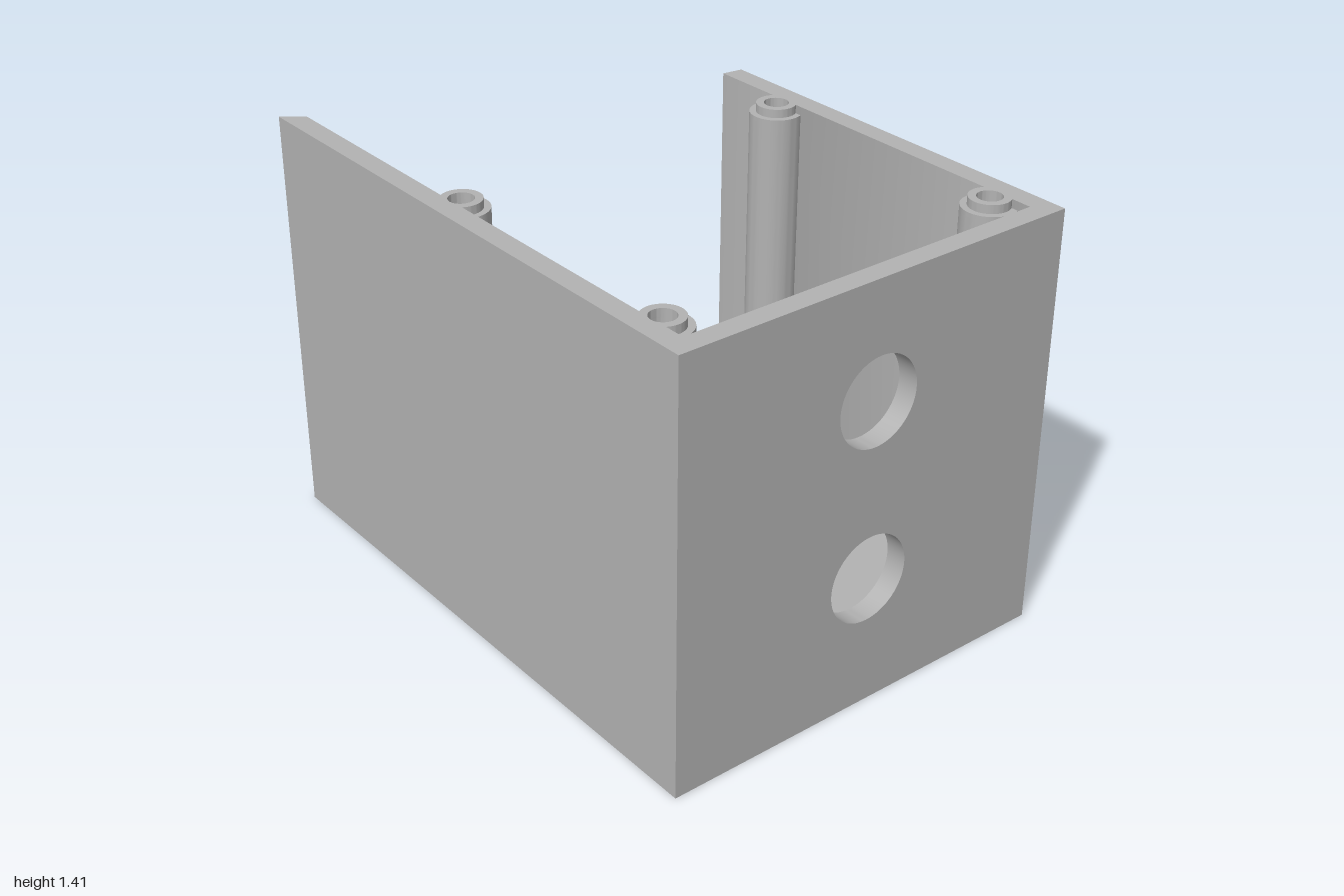
import * as THREE from 'three';
import { toCreasedNormals } from 'three/addons/utils/BufferGeometryUtils.js';

const HEIGHT = 1.415, FLOOR = 0.047, HALF_Z = 0.707, WALL = 0.07;
const POST_R = 0.086, COLLAR_R = 0.065, BORE_R = 0.04, COLLAR_Y = 1.387;
const POST_X = [-0.125, 0.807], POST_Z = 0.603;

// x of the concave cylindrical cut on the open side
const cutX = (z) => -3.195 + Math.sqrt(2.792 ** 2 - (z + 1.021) ** 2);

// points along the cut from z0 to z1
function cutPoints(z0, z1, n) {
  return Array.from({ length: n + 1 }, (_, i) => {
    const z = z0 + ((z1 - z0) * i) / n;
    return new THREE.Vector2(cutX(z), z);
  });
}

function circle(x, y, r) {
  return new THREE.Path().absarc(x, y, r, 0, Math.PI * 2, false);
}

function extrude(shape, depth) {
  return new THREE.ExtrudeGeometry(shape, { depth, bevelEnabled: false, curveSegments: 32 });
}

// raise a plan drawn in (x, z) from y0 to y1
function raise(shape, y0, y1) {
  const g = extrude(shape, y1 - y0).rotateX(Math.PI / 2).translate(0, y1, 0);
  return toCreasedNormals(g, 0.5);
}

export function createModel() {
  const model = new THREE.Group();
  model.name = 'enclosure';
  const grey = new THREE.MeshStandardMaterial({ color: 0xb2b2b2 });
  grey.name = 'grey plastic';

  const add = (name, geometry, parent = model) => {
    const mesh = new THREE.Mesh(geometry, grey);
    mesh.name = name;
    parent.add(mesh);
  };

  // floor with the curved edge and four screw holes
  const floor = new THREE.Shape([
    ...cutPoints(HALF_Z, -HALF_Z, 40),
    new THREE.Vector2(1, -HALF_Z),
    new THREE.Vector2(1, HALF_Z),
  ]);
  for (const x of POST_X) {
    for (const s of [-1, 1]) floor.holes.push(circle(x, s * POST_Z, BORE_R));
  }
  add('floor', raise(floor, 0, FLOOR));

  // front and back walls, notched where the post bores graze them
  for (const s of [-1, 1]) {
    const inner = HALF_Z - WALL;
    const d = inner - POST_Z;
    const h = Math.sqrt(BORE_R ** 2 - d ** 2);
    const wall = new THREE.Shape(cutPoints(s * HALF_Z, s * inner, 6));
    for (const x of POST_X) {
      wall.lineTo(x - h, s * inner);
      wall.absarc(x, s * POST_Z, BORE_R, Math.atan2(s * d, -h), Math.atan2(s * d, h), s > 0);
    }
    wall.lineTo(1, s * inner);
    wall.lineTo(1, s * HALF_Z);
    add(s > 0 ? 'frontWall' : 'backWall', raise(wall, FLOOR, HEIGHT));
  }

  // end wall with two round ports
  const w = HALF_Z - WALL;
  const end = new THREE.Shape([
    new THREE.Vector2(-w, FLOOR), new THREE.Vector2(w, FLOOR),
    new THREE.Vector2(w, HEIGHT), new THREE.Vector2(-w, HEIGHT),
  ]);
  for (const y of [0.44, 1.03]) end.holes.push(circle(0.005, y, 0.145));
  const endGeometry = extrude(end, WALL).rotateY(Math.PI / 2).translate(1 - WALL, 0, 0);
  add('endWall', toCreasedNormals(endGeometry, 0.5));

  // hollow screw posts with a stepped collar on top
  for (const x of POST_X) {
    for (const s of [-1, 1]) {
      const post = new THREE.Group();
      post.name = 'screwPost';
      post.position.set(x, 0, s * POST_Z);
      const ring = (r) => {
        const shape = new THREE.Shape().absarc(0, 0, r, 0, Math.PI * 2, false);
        shape.holes.push(circle(0, 0, BORE_R));
        return shape;
      };
      add('postTube', raise(ring(POST_R), FLOOR, COLLAR_Y), post);
      add('postCollar', raise(ring(COLLAR_R), COLLAR_Y, HEIGHT), post);
      model.add(post);
    }
  }
  return model;
}
